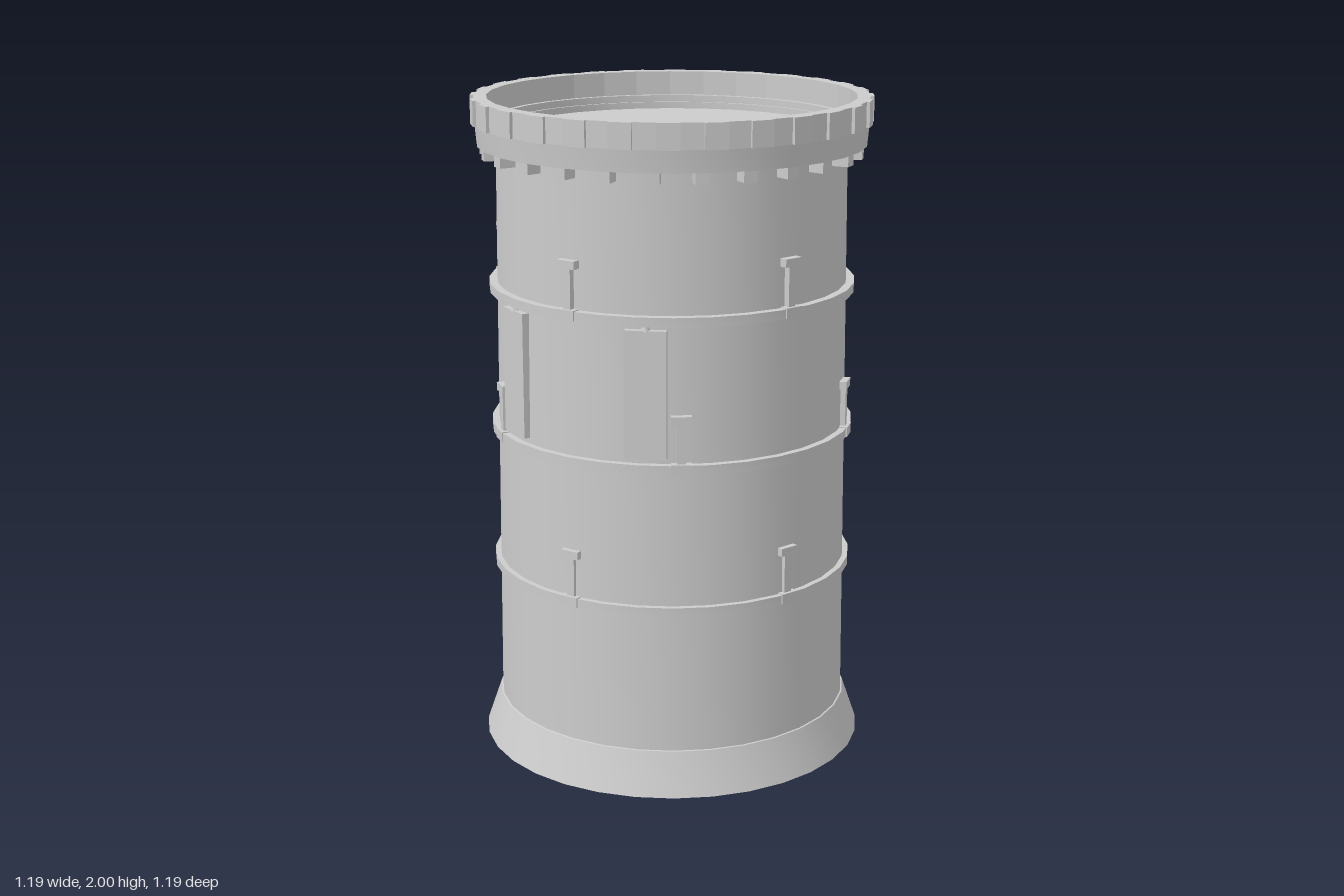
import * as THREE from 'three';
import { toCreasedNormals } from 'three/addons/utils/BufferGeometryUtils.js';

const stone = new THREE.MeshStandardMaterial({ color: 0xcccccc });
stone.name = 'stone grey';

const SIDES = 32;

function add(parent, name, geometry) {
  const mesh = new THREE.Mesh(geometry, stone);
  mesh.name = name;
  parent.add(mesh);
  return mesh;
}

// Turned part from [radius, height] pairs, smooth around and sharp at the steps
function turned(parent, name, profile) {
  const points = profile.map(([r, y]) => new THREE.Vector2(r, y));
  const geometry = new THREE.LatheGeometry(points, SIDES);
  return add(parent, name, toCreasedNormals(geometry, 0.3));
}

function box(parent, name, w, h, d, y, z) {
  return add(parent, name, new THREE.BoxGeometry(w, h, d).translate(0, y, z));
}

// Group turned about the tower axis; its local +z points outward
function spoke(parent, name, angle) {
  const group = new THREE.Group();
  group.name = name;
  group.rotation.y = angle;
  parent.add(group);
  return group;
}

// Toothed crown ring with a round opening
function crownGeometry(teeth, low, high, inner, height) {
  const outline = [];
  const step = (Math.PI * 2) / teeth;
  for (let i = 0; i < teeth; i++) {
    const a = (i - 0.25) * step;
    for (const [r, t] of [[low, 0], [low, 0.5], [high, 0.5], [high, 1]]) {
      const b = a + t * step;
      outline.push(new THREE.Vector2(Math.cos(b) * r, Math.sin(b) * r));
    }
  }
  const shape = new THREE.Shape(outline);
  const hole = new THREE.Path();
  hole.absarc(0, 0, inner, 0, Math.PI * 2, true);
  shape.holes.push(hole);
  const geometry = new THREE.ExtrudeGeometry(shape, {
    depth: height, bevelEnabled: false, curveSegments: SIDES / 2,
  });
  return geometry.rotateX(-Math.PI / 2);
}

export function createModel() {
  const tower = new THREE.Group();
  tower.name = 'tower';

  // Flared foot, tapering wall, overhanging parapet and sunken roof floor
  turned(tower, 'towerBody', [
    [0, 0], [0.59, 0], [0.545, 0.13], [0.54, 0.131], [0.525, 1.86],
    [0.582, 1.86], [0.588, 1.925], [0.55, 1.926],
    [0.535, 1.926], [0.535, 1.905], [0.527, 1.905], [0.527, 1.885], [0, 1.885],
  ]);

  // Crown of shallow teeth
  const crown = add(tower, 'crown', crownGeometry(28, 0.588, 0.598, 0.55, 0.075));
  crown.position.y = 1.925;

  // Small corbels under the parapet
  const corbels = new THREE.Group();
  corbels.name = 'corbels';
  tower.add(corbels);
  for (let i = 0; i < 26; i++) {
    const arm = spoke(corbels, 'corbel', (i / 26) * Math.PI * 2);
    box(arm, 'corbelBlock', 0.04, 0.036, 0.06, 1.844, 0.542);
  }

  // Bands with five I-shaped brackets each, the middle set staggered
  [0.558, 0.99, 1.422].forEach((y, level) => {
    turned(tower, 'band', [
      [0.52, y], [0.553, y], [0.553, y + 0.028], [0.52, y + 0.028],
    ]);
    for (let i = 0; i < 5; i++) {
      const angle = ((i + (level % 2) * 0.5) / 5) * Math.PI * 2;
      const bracket = spoke(tower, 'bracket', angle);
      box(bracket, 'bracketFoot', 0.058, 0.03, 0.04, y + 0.016, 0.535);
      box(bracket, 'bracketStem', 0.026, 0.13, 0.03, y + 0.085, 0.53);
      box(bracket, 'bracketCap', 0.06, 0.024, 0.04, y + 0.16, 0.53);
    }
  });

  // Two tall front panels with a little finial on top
  for (const side of [-1, 1]) {
    const panel = spoke(tower, 'frontPanel', side * 0.44);
    box(panel, 'panelSlab', 0.12, 0.375, 0.03, 1.2225, 0.53);
    const finial = add(panel, 'panelFinial', new THREE.ConeGeometry(0.016, 0.035, 4));
    finial.position.set(0, 1.425, 0.535);
  }

  return tower;
}
